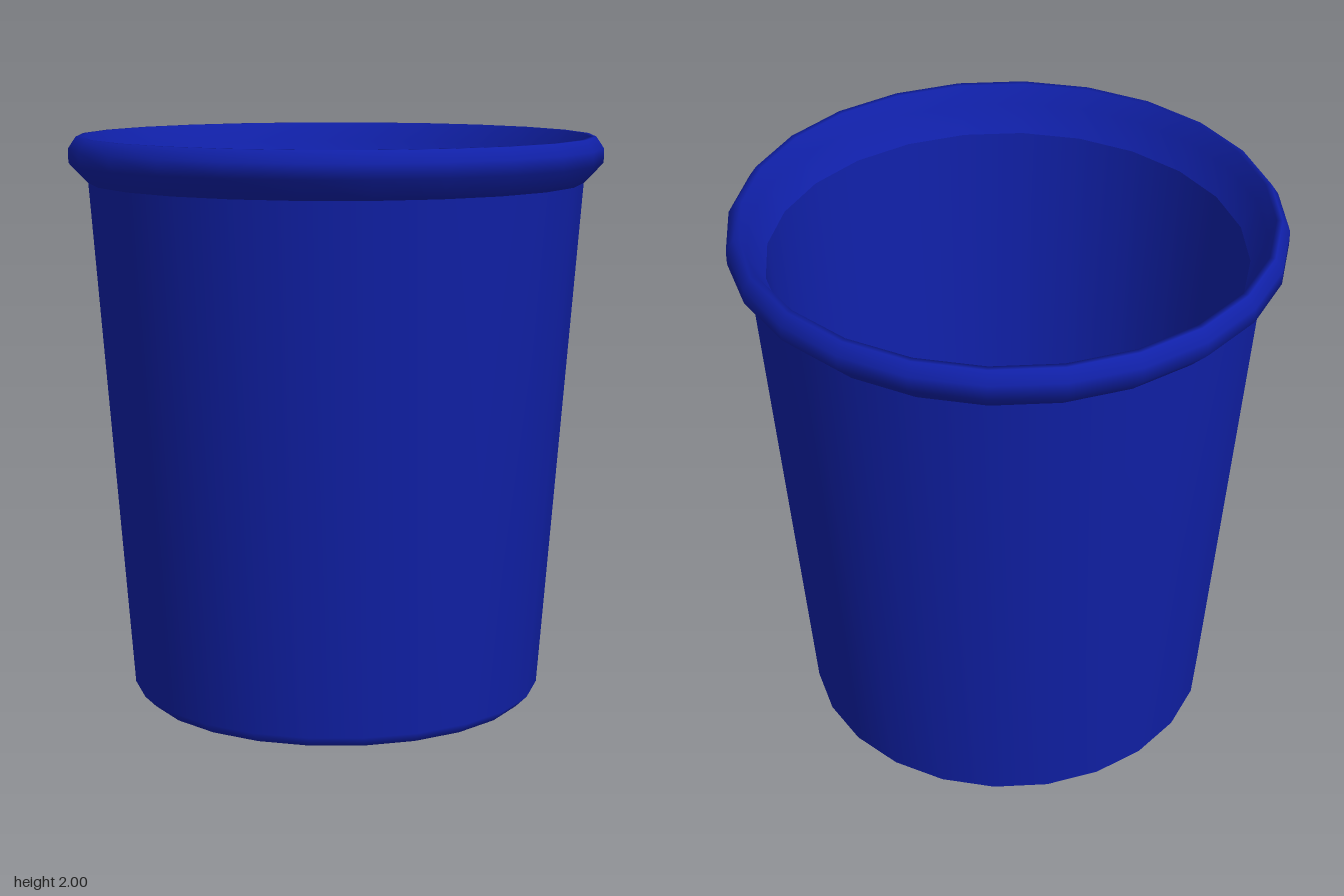
import * as THREE from 'three';

const SIDES = 24;

export function createModel() {
  const group = new THREE.Group();
  group.name = 'bin';
  const blue = new THREE.MeshStandardMaterial({ color: 0x1020a8, side: THREE.DoubleSide });

  // Revolves a [radius, height] profile around the y axis
  const addRing = (name, profile) => {
    const points = profile.map(([r, y]) => new THREE.Vector2(r, y));
    const mesh = new THREE.Mesh(new THREE.LatheGeometry(points, SIDES), blue);
    mesh.name = name;
    group.add(mesh);
  };

  // Tapered outside with a bevelled foot
  addRing('outerWall', [[0.69, 0], [0.73, 0.04], [0.865, 1.84]]);

  // Rolled lip, from under its outer edge over the top to the inside
  addRing('rim', [[0.865, 1.84], [0.932, 1.91], [0.932, 1.96], [0.905, 2], [0.885, 2], [0.865, 1.93], [0.81, 1.84]]);

  // Inside of the container, down to the floor
  addRing('innerWall', [[0.81, 1.84], [0.7, 0.33]]);

  // Hollow base below the raised floor
  addRing('baseSkirt', [[0.7, 0.33], [0.69, 0]]);

  const floor = new THREE.Mesh(new THREE.CircleGeometry(0.7, SIDES), blue);
  floor.name = 'floor';
  floor.rotation.x = -Math.PI / 2;
  floor.position.y = 0.33;
  group.add(floor);

  return group;
}
